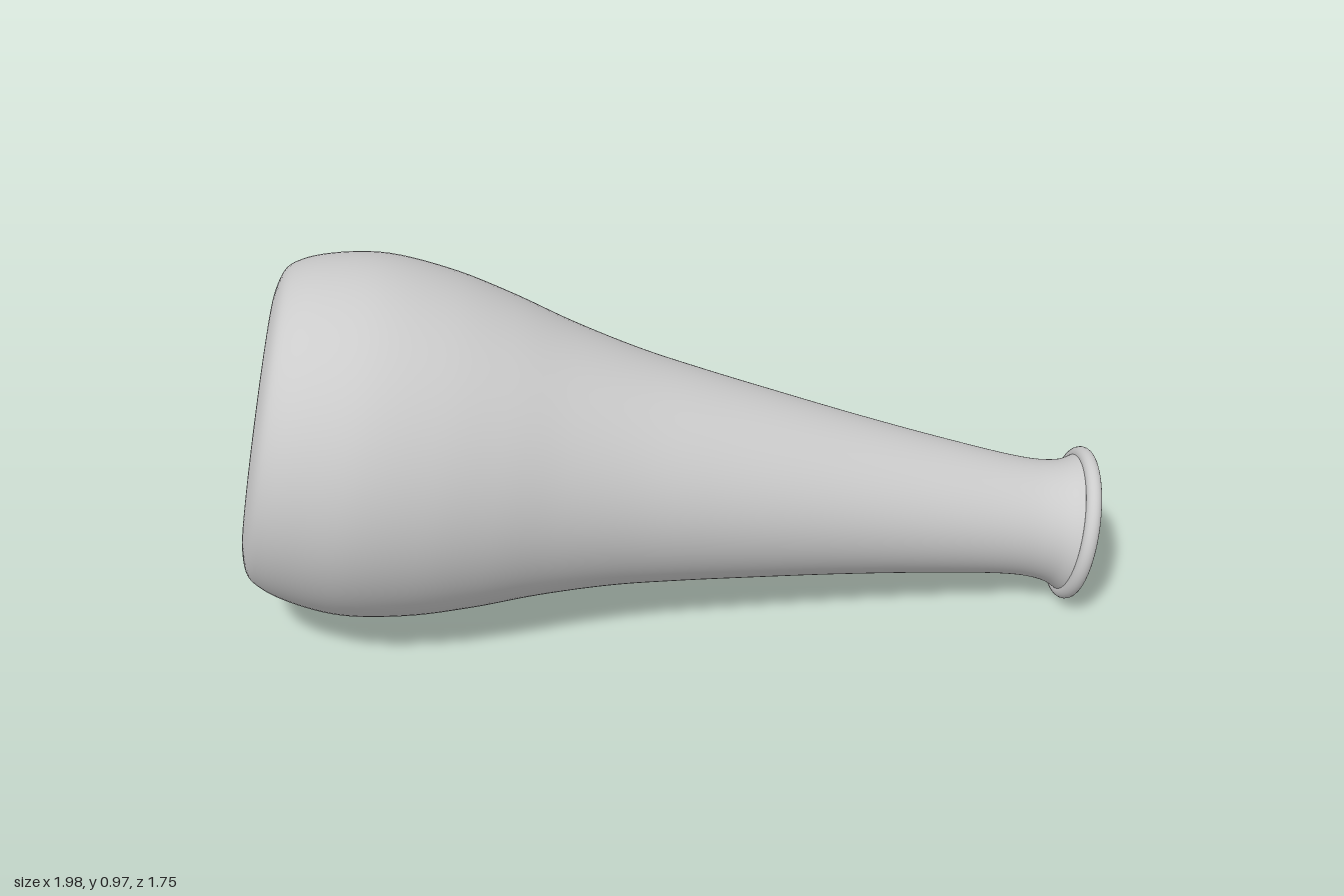
import * as THREE from 'three';

// Smooth curve through [distance behind the mouth, radius] pairs
function smoothProfile(pairs, steps) {
  const pts = pairs.map(([t, r]) => new THREE.Vector3(r, -t, 0));
  return new THREE.CatmullRomCurve3(pts, false, 'centripetal')
    .getPoints(steps)
    .map((p) => new THREE.Vector2(Math.max(p.x, 0), p.y));
}

export function createModel() {
  const group = new THREE.Group();
  const material = new THREE.MeshStandardMaterial({ color: 0xcccccc, side: THREE.DoubleSide });

  // Outer wall, from the flat base to the flared neck
  const outer = smoothProfile([
    [2.11, 0], [2.11, 0.14], [2.11, 0.27], [2.105, 0.33], [2.085, 0.387], [2.05, 0.414],
    [1.98, 0.439], [1.85, 0.458], [1.68, 0.440], [1.52, 0.400], [1.36, 0.350], [1.18, 0.304],
    [1.02, 0.274], [0.8, 0.238], [0.6, 0.207], [0.38, 0.177], [0.17, 0.154], [0.1, 0.153],
    [0.05, 0.161], [0.015, 0.178],
  ], 110);

  // Inner wall, from the mouth back to the floor
  const inner = smoothProfile([
    [0.0, 0.163], [0.05, 0.149], [0.1, 0.141], [0.17, 0.141], [0.38, 0.164], [0.6, 0.194],
    [0.8, 0.225], [1.02, 0.261], [1.36, 0.337], [1.52, 0.387], [1.68, 0.427], [1.85, 0.444],
    [1.98, 0.425], [2.05, 0.395], [2.08, 0.33], [2.09, 0.26], [2.09, 0],
  ], 80);

  const body = new THREE.Mesh(new THREE.LatheGeometry(outer, 96), material);
  body.name = 'vaseBody';
  const lining = new THREE.Mesh(new THREE.LatheGeometry(inner, 96), material);
  lining.name = 'innerWall';

  // Rolled lip around the mouth
  const lip = new THREE.Mesh(new THREE.TorusGeometry(0.179, 0.02, 20, 96), material);
  lip.name = 'lip';
  lip.rotation.x = Math.PI / 2;

  // Lay the vase over so that the mouth points forward, to its left and down
  const vase = new THREE.Group();
  vase.name = 'vase';
  vase.add(body, lining, lip);
  const axis = new THREE.Vector3(0.769, -0.171, 0.617).normalize();
  vase.quaternion.setFromUnitVectors(new THREE.Vector3(0, 1, 0), axis);
  vase.position.set(0.865, 0.197, 0.717);
  group.add(vase);
  return group;
}
